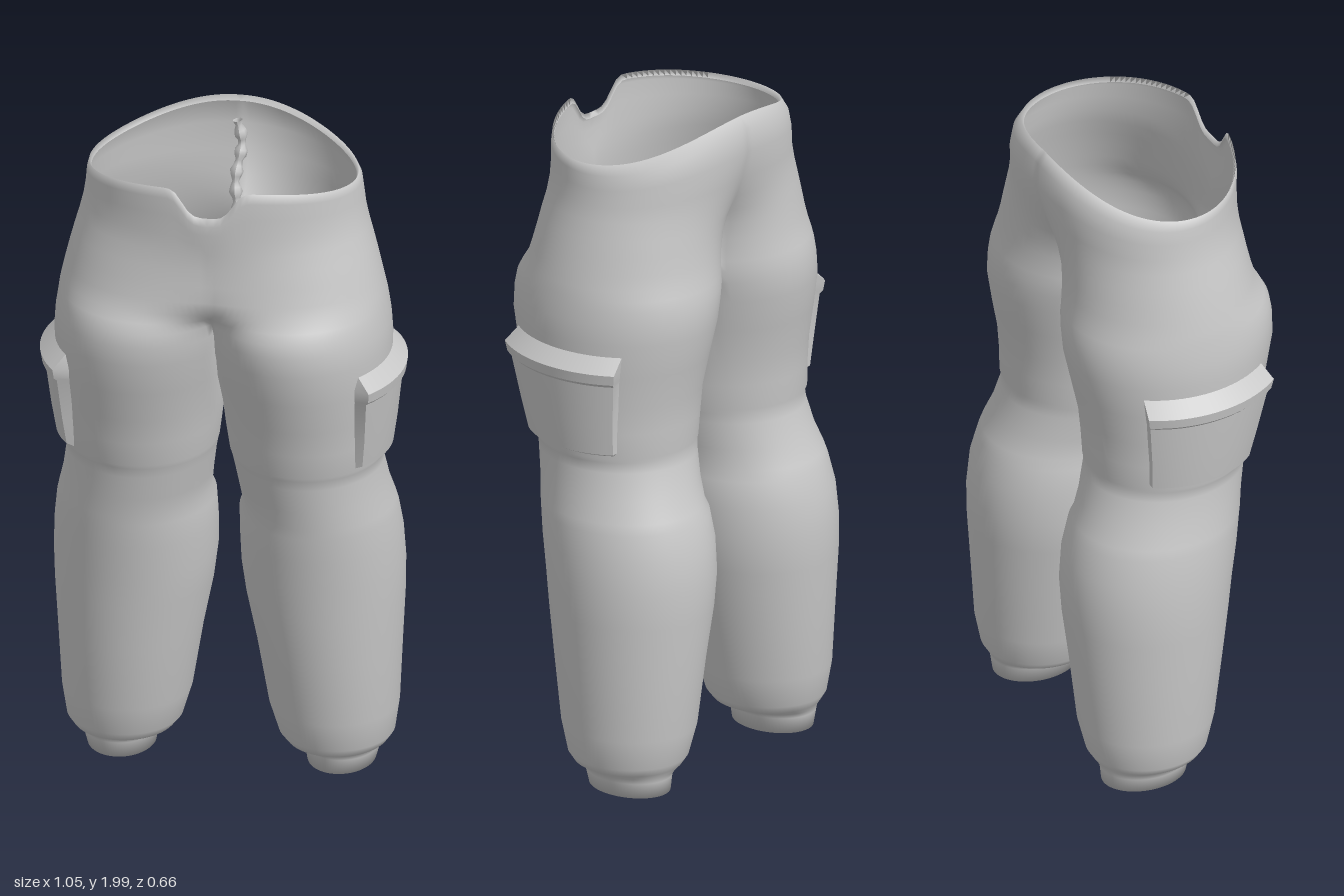
import * as THREE from 'three';
import { mergeVertices, toCreasedNormals } from 'three/addons/utils/BufferGeometryUtils.js';

const { lerp, clamp } = THREE.MathUtils;
const OUT = 64, IN = 16;                       // segments on the outer and inner arcs
const A0 = -50 * Math.PI / 180, A1 = Math.PI - A0;

// leg sections: y, outer x, inner x, front z, back z
const LEG = [
  [0.05, 0.395, 0.235, -0.01, -0.22],
  [0.008, 0.415, 0.22, 0.015, -0.24], [0.055, 0.428, 0.212, 0.022, -0.245],
  [0.07, 0.43, 0.2, 0.03, -0.25], [0.085, 0.455, 0.16, 0.065, -0.26],
  [0.11, 0.472, 0.14, 0.08, -0.275], [0.2, 0.485, 0.113, 0.105, -0.295],
  [0.4, 0.495, 0.08, 0.135, -0.312], [0.55, 0.503, 0.05, 0.157, -0.326],
  [0.65, 0.505, 0.037, 0.17, -0.33], [0.75, 0.5, 0.035, 0.187, -0.322],
  [0.83, 0.49, 0.037, 0.198, -0.3], [0.86, 0.483, 0.048, 0.202, -0.288],
  [0.92, 0.468, 0.04, 0.212, -0.262], [1.0, 0.455, 0.028, 0.228, -0.24],
  [1.03, 0.455, 0.022, 0.233, -0.235], [1.045, 0.465, 0.018, 0.243, -0.24],
  [1.12, 0.468, 0.008, 0.257, -0.243], [1.2, 0.472, 0, 0.275, -0.25],
  [1.3, 0.48, 0, 0.305, -0.27], [1.4, 0.484, 0, 0.328, -0.289],
  [1.46, 0.48, 0, 0.33, -0.29], [1.5, 0.474, 0, 0.325, -0.287],
];
// hip sections: y, outer x, front z, back z, front roundness, back roundness
const HIP = [
  [1.53, 0.47, 0.321, -0.283, 0.3, 0.0], [1.56, 0.464, 0.317, -0.28, 0.68, 0.02],
  [1.6, 0.455, 0.31, -0.276, 0.8, 0.08], [1.65, 0.443, 0.302, -0.275, 0.85, 0.2],
  [1.7, 0.43, 0.296, -0.277, 0.88, 0.4], [1.75, 0.416, 0.291, -0.281, 0.95, 0.62],
  [1.8, 0.406, 0.29, -0.286, 1, 0.8], [1.86, 0.399, 0.292, -0.294, 1, 0.92],
  [1.91, 0.395, 0.294, -0.285, 1, 0.95], [1.94, 0.387, 0.29, -0.26, 1, 0.97],
  [1.925, 0.38, 0.283, -0.25, 1, 0.97],
];

// Point on a leg section at angle a (0 = front, 90 degrees = outer side)
function legPoint([y, xo, xi, zf, zb], a) {
  const cx = (xo + xi) / 2, rx = (xo - xi) / 2;
  let x = cx + rx * Math.sin(a);
  const z = (zf + zb) / 2 + (zf - zb) / 2 * Math.cos(a);
  // flatten the inner thigh toward the centre plane near the crotch
  const xe = (cx + rx * Math.sin(A0)) * clamp((y - 1.2) / 0.3, 0, 1);
  x = (x - xe) * xo / (xo - xe);
  return [Math.max(x, y < 1.499 ? 0.003 : 0), y, z];
}

// Point on a hip section, blended from two legs to one round waist
function hipPoint([y, xo, zf, zb, wf, wb], u) {
  const leg = legPoint([y, xo, 0, zf, zb], lerp(A0, A1, u));
  const t = u * Math.PI, c = Math.cos(t), w = lerp(wf, wb, u);
  const x = u === 0 || u === 1 ? 0 : lerp(leg[0], xo * Math.sin(t), w);
  const z = lerp(leg[2], (zf + zb) / 2 + (zf - zb) / 2 * c, w);
  // wavy waistline: front notch, low sides, raised back
  let rise = -0.03 + 0.045 * c * c + 0.045 * Math.max(0, -c) ** 4;
  if (c > 0) rise -= 0.085 * Math.exp(-((x / 0.08) ** 4));
  return [x, y + rise * clamp((y - 1.76) / 0.16, 0, 1), z];
}

// Join rows of points into triangles; side = -1 mirrors to the other half
function addRows(rows, side, pos, index) {
  const base = pos.length / 3, n = rows[0].length;
  rows.forEach(r => r.forEach(p => pos.push(p[0] * side, p[1], p[2])));
  for (let i = 0; i < rows.length - 1; i++) for (let j = 0; j < n - 1; j++) {
    const a = base + i * n + j, b = a + 1, c = a + n, d = c + 1;
    if (side > 0) index.push(a, b, d, a, d, c);
    else index.push(a, d, b, a, c, d);
  }
}

function makeGeometry(build) {
  const pos = [], index = [];
  build(pos, index);
  const g = new THREE.BufferGeometry();
  g.setAttribute('position', new THREE.Float32BufferAttribute(pos, 3));
  g.setIndex(index);
  const merged = mergeVertices(g, 1e-4);
  merged.computeVertexNormals();
  return merged;
}

// Leg section at any height
function legAt(y) {
  let i = 1;
  while (i < LEG.length - 2 && LEG[i + 1][0] < y) i++;
  const t = (y - LEG[i][0]) / (LEG[i + 1][0] - LEG[i][0]);
  return LEG[i].map((v, k) => lerp(v, LEG[i + 1][k], t));
}

// Cargo pocket wrapped on the outer thigh: rows of height and bulge
function pocketRows() {
  const profile = [[1.05, -0.01], [1.065, 0.018], [1.15, 0.027], [1.285, 0.033],
    [1.295, 0.042], [1.325, 0.045], [1.375, -0.01]];
  const N = 20;
  return profile.map(([y, bulge]) => {
    const row = legAt(y);
    return Array.from({ length: N + 1 }, (_, j) => {
      const a = lerp(46, 130, j / N) * Math.PI / 180;
      const p = legPoint(row, a);
      const off = j === 0 || j === N ? -0.01 : bulge;
      return [p[0] + off * Math.sin(a), y, p[2] + off * Math.cos(a)];
    });
  });
}

export function createModel() {
  const model = new THREE.Group();
  model.name = 'trousers';
  const cloth = new THREE.MeshStandardMaterial({ color: 0xc8c8c8, side: THREE.DoubleSide });
  cloth.name = 'grey cloth';
  const add = (name, geometry) => {
    const m = new THREE.Mesh(geometry, cloth);
    m.name = name;
    model.add(m);
  };

  // legs and hips, sharing the row at crotch height
  const legRows = LEG.map(row => Array.from({ length: OUT + IN + 1 }, (_, j) =>
    legPoint(row, j <= OUT ? lerp(A0, A1, j / OUT)
      : lerp(A1, A0 + 2 * Math.PI, (j - OUT) / IN))));
  const hipRows = HIP.map(row => Array.from({ length: OUT + 1 }, (_, j) => hipPoint(row, j / OUT)));
  hipRows.unshift(legRows[legRows.length - 1].slice(0, OUT + 1));
  add('legsAndHips', makeGeometry((pos, index) => {
    for (const side of [1, -1]) {
      addRows(legRows, side, pos, index);
      addRows(hipRows, side, pos, index);
    }
  }));

  // cargo pockets
  for (const [name, side] of [['leftPocket', 1], ['rightPocket', -1]]) {
    const g = makeGeometry((pos, index) => addRows(pocketRows(), side, pos, index));
    add(name, toCreasedNormals(g, 0.6));
  }

  // gathered seam inside the crotch and up the back
  const path = new THREE.CatmullRomCurve3([[1.51, 0.18], [1.5, 0.05], [1.51, -0.1],
    [1.62, -0.17], [1.76, -0.2], [1.86, -0.235], [1.93, -0.235]]
    .map(([y, z], i) => new THREE.Vector3(i % 2 ? 0.006 : -0.006, y, z)));
  const seam = new THREE.TubeGeometry(path, 48, 0.016, 7, false);
  const p = seam.attributes.position, v = new THREE.Vector3();
  for (let i = 0; i < p.count; i++) {
    const ring = Math.floor(i / 8), c = path.getPointAt(ring / 48);
    v.fromBufferAttribute(p, i).sub(c).multiplyScalar(0.95 + 0.35 * Math.sin(ring * 1.7)).add(c);
    p.setXYZ(i, v.x, v.y, v.z);
  }
  seam.computeVertexNormals();
  add('innerSeam', seam);

  return model;
}
